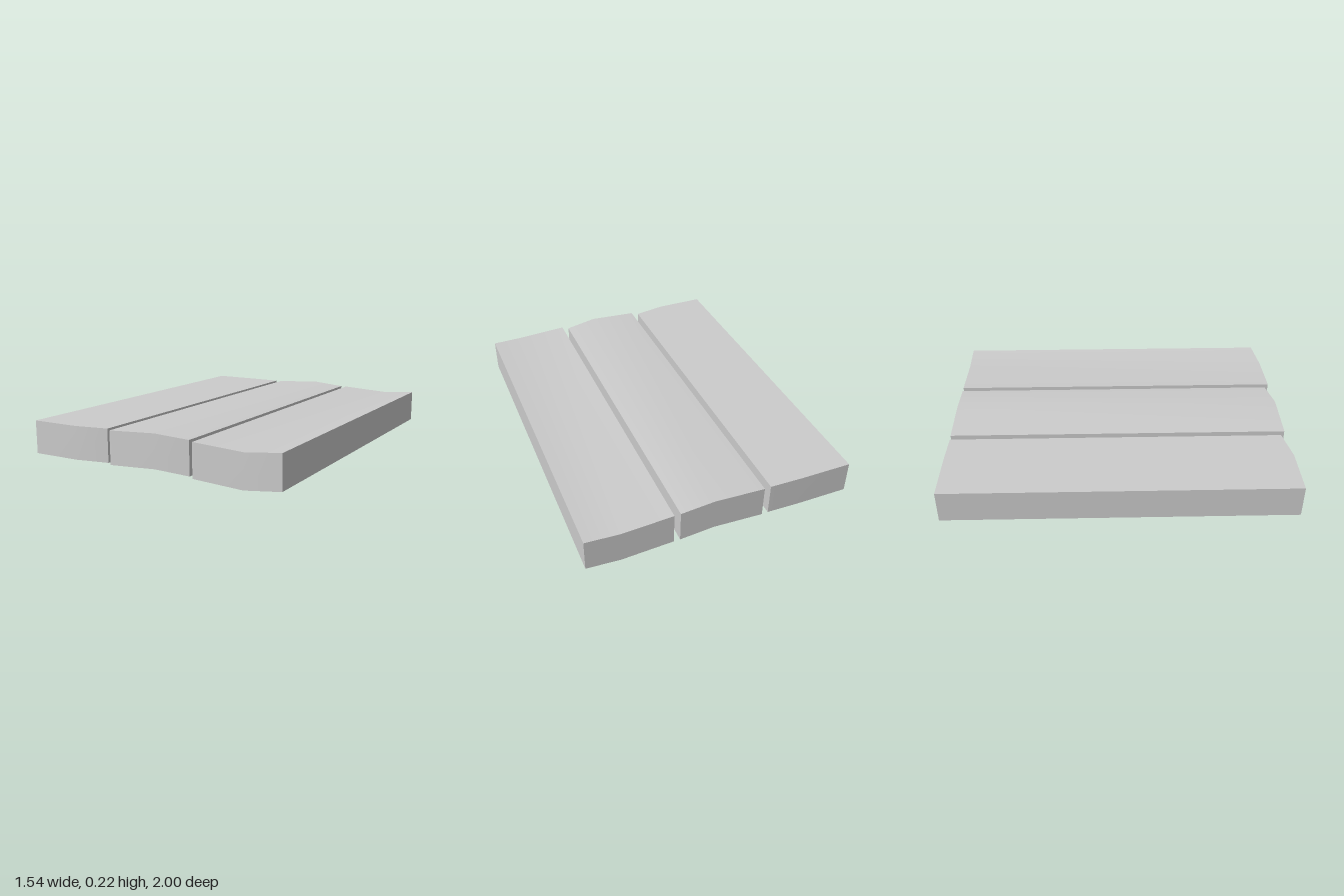
import * as THREE from 'three';

const WIDTH = 0.49, HEIGHT = 0.19, BASE = 0.015;

// One plank: a box open underneath, with a crease line at 60% of its width.
// lift raises or lowers the crease; the front end is cut back past it.
function makePlank(left, lift, front, back) {
  const geo = new THREE.BoxGeometry(1, 1, 1, 2, 1, 1);

  // leave the underside open
  const bottom = geo.groups[3];
  const index = Array.from(geo.index.array);
  index.splice(bottom.start, bottom.count);
  geo.setIndex(index);
  geo.clearGroups();

  const pos = geo.attributes.position;
  for (let i = 0; i < pos.count; i++) {
    const column = Math.round((pos.getX(i) + 0.5) * 2); // 0 left, 1 crease, 2 right
    const x = left + WIDTH * [0, 0.6, 1][column];
    const y = BASE + (pos.getY(i) + 0.5) * HEIGHT + (column === 1 ? lift : 0);
    const z = pos.getZ(i) > 0 ? front[column] : back[column];
    pos.setXYZ(i, x, y, z);
  }
  geo.computeVertexNormals();
  return geo;
}

export function createModel() {
  const group = new THREE.Group();
  group.name = 'plankFloor';
  const material = new THREE.MeshStandardMaterial({ color: 0xcccccc, side: THREE.DoubleSide });

  const planks = [
    { name: 'flatPlank', left: -0.773, lift: 0, front: [1, 1, 0.965], back: [-1, -1, -0.995] },
    { name: 'raisedPlank', left: -0.245, lift: 0.017, front: [0.993, 0.993, 0.965], back: [-0.997, -0.997, -0.997] },
    { name: 'dippedPlank', left: 0.281, lift: -0.015, front: [0.993, 0.993, 0.965], back: [-0.997, -0.997, -0.997] },
  ];
  for (const p of planks) {
    const mesh = new THREE.Mesh(makePlank(p.left, p.lift, p.front, p.back), material);
    mesh.name = p.name;
    group.add(mesh);
  }
  return group;
}
